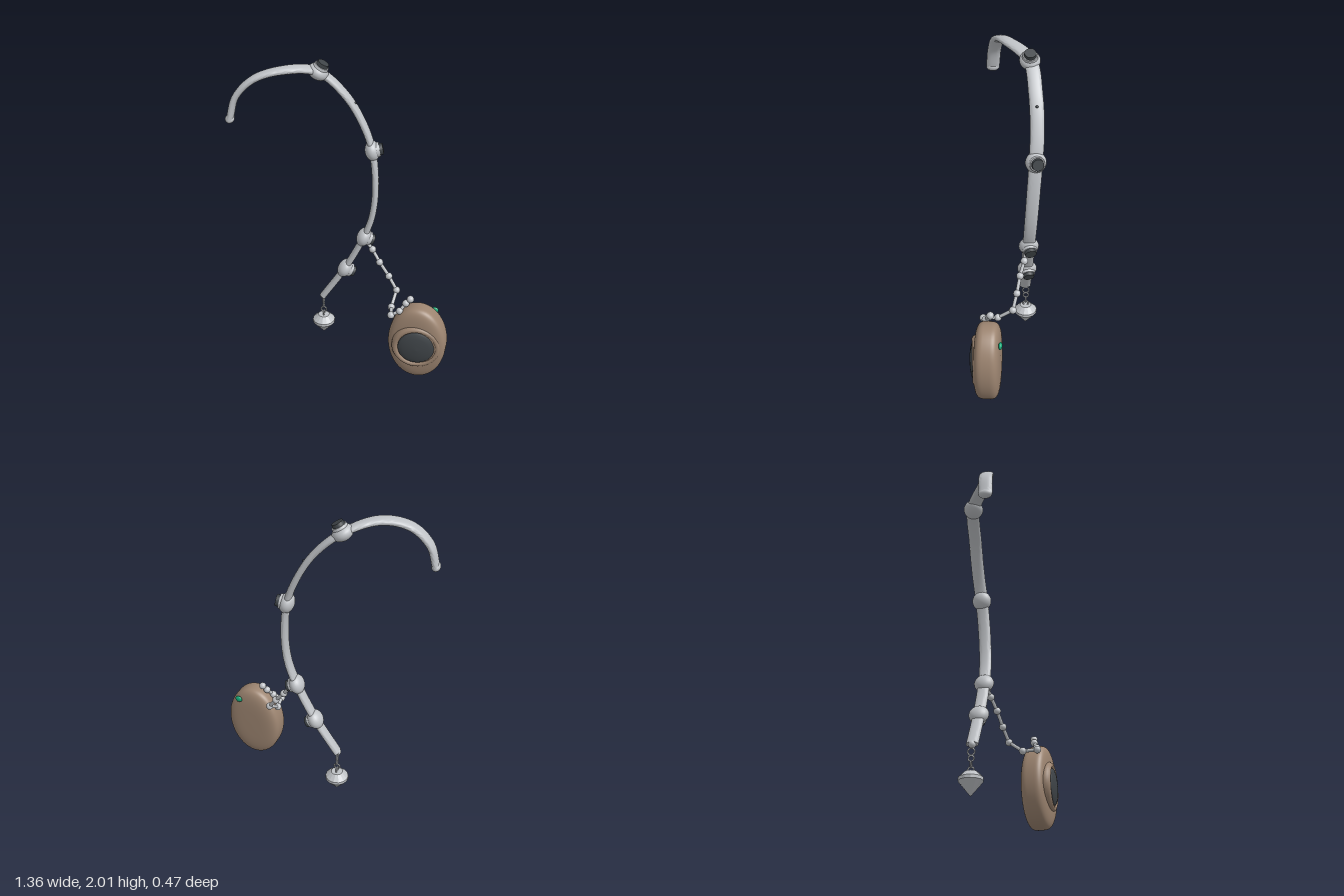
import * as THREE from 'three';
import { toCreasedNormals } from 'three/addons/utils/BufferGeometryUtils.js';

const mat = (name, color, extra = {}) => {
  const m = new THREE.MeshStandardMaterial({ color, ...extra });
  m.name = name;
  return m;
};
const V = (x, y, z) => new THREE.Vector3(x, y, z);

// Outward normal and width direction of the flat band at parameter t
function frameAt(curve, t) {
  const p = curve.getPoint(t), tan = curve.getTangent(t);
  const n = V(0, 0, 1).cross(tan).normalize();
  const w = tan.clone().cross(n).normalize();
  return { p, tan, n, w };
}

// Sweep a rounded flat section along the curve
function bandGeometry(curve, steps, sides) {
  const pos = [], idx = [];
  const pw = (v) => Math.sign(v) * Math.pow(Math.abs(v), 0.85);
  for (let i = 0; i <= steps; i++) {
    const t = i / steps, { p, n, w } = frameAt(curve, t);
    const half = 0.042 - 0.006 * Math.max(0, t * 2 - 1);
    for (let j = 0; j < sides; j++) {
      const a = (j / sides) * Math.PI * 2;
      const q = p.clone().addScaledVector(n, 0.02 * pw(Math.cos(a))).addScaledVector(w, half * pw(Math.sin(a)));
      pos.push(q.x, q.y, q.z);
    }
  }
  for (let i = 0; i < steps; i++) for (let j = 0; j < sides; j++) {
    const k = (j + 1) % sides, a = i * sides, b = a + sides;
    idx.push(a + j, a + k, b + j, a + k, b + k, b + j);
  }
  for (let j = 1; j < sides - 1; j++) {
    const e = steps * sides;
    idx.push(0, j + 1, j, e, e + j, e + j + 1);
  }
  const g = new THREE.BufferGeometry();
  g.setAttribute('position', new THREE.Float32BufferAttribute(pos, 3));
  g.setIndex(idx);
  return toCreasedNormals(g, 0.9);
}

const lathe = (pts, seg = 48) => new THREE.LatheGeometry(pts.map(([r, y]) => new THREE.Vector2(r, y)), seg);

export function createModel() {
  const root = new THREE.Group();
  const silver = mat('silver', 0xbfc2c6), brown = mat('brown', 0x9c8470);
  const dark = mat('dark grey', 0x3f4448), green = mat('green', 0x14a878);
  const silverFlat = silver;

  const add = (name, geo, m, parent = root, p = [0, 0, 0]) => {
    const mesh = new THREE.Mesh(geo, m);
    mesh.name = name;
    mesh.position.set(...p);
    parent.add(mesh);
    return mesh;
  };
  const ball = (name, p, rx, ry, rz, m, parent = root) =>
    add(name, new THREE.SphereGeometry(1, 24, 16).scale(rx, ry, rz), m, parent, p);

  // Hooked band
  const path = [
    [-0.655, 1.7, 0.04], [-0.615, 1.835, 0.03], [-0.51, 1.94, 0.01], [-0.35, 1.98, -0.045],
    [-0.17, 1.935, -0.16], [-0.015, 1.79, -0.185], [0.09, 1.61, -0.19], [0.15, 1.44, -0.18],
    [0.175, 1.2, -0.165], [0.16, 1.0, -0.155], [0.11, 0.84, -0.15], [-0.01, 0.59, -0.15], [-0.155, 0.355, -0.15],
  ].map((a) => V(...a));
  const curve = new THREE.CatmullRomCurve3(path);
  add('band', bandGeometry(curve, 120, 24), silver);
  ball('bandTip', [-0.655, 1.7, 0.04], 0.027, 0.026, 0.041, silver);
  ball('bandEnd', [-0.155, 0.355, -0.15], 0.023, 0.023, 0.023, silver);

  // Joints with dark caps facing outwards
  for (const i of [4, 7, 10, 11]) {
    const { p, tan, n, w } = frameAt(curve, i / (path.length - 1));
    const joint = new THREE.Group();
    joint.name = 'joint';
    joint.quaternion.setFromRotationMatrix(new THREE.Matrix4().makeBasis(n, tan.clone().negate(), w));
    joint.position.copy(p);
    ball('jointBody', [0, 0, 0], 0.045, 0.063, 0.062, silver, joint);
    const cap = new THREE.Group();
    cap.name = 'jointCap';
    cap.rotation.y = i === 4 ? 0 : 0.15;
    add('capCollar', new THREE.CylinderGeometry(0.043, 0.05, 0.035, 32).rotateZ(-Math.PI / 2), silver, cap, [0.028, 0, 0]);
    add('capDisc', new THREE.CylinderGeometry(0.034, 0.037, 0.024, 32).rotateZ(-Math.PI / 2), dark, cap, [0.054, 0, 0]);
    joint.add(cap);
    root.add(joint);
  }

  // Small dark stud on the band
  const stud = frameAt(curve, 5.35 / 12);
  ball('stud', stud.p.clone().addScaledVector(stud.n, 0.019).toArray(), 0.008, 0.008, 0.008, dark);

  // Link chain and pointed weight
  [[0.312, 0.021, true], [0.272, 0.017, true], [0.235, 0.018, false], [0.205, 0.017, true]].forEach(([y, r, side]) => {
    const link = new THREE.TorusGeometry(r, 0.005, 8, 24);
    if (side) link.rotateY(Math.PI / 2);
    add('chainLink', link, silver, root, [-0.155, y, -0.155]);
  });
  const weight = lathe([[0, 0.048], [0.074, 0.138], [0.074, 0.157], [0.037, 0.193], [0, 0.193]], 14);
  add('weight', toCreasedNormals(weight, 0.1), silverFlat, root, [-0.155, 0, -0.155]);

  // Beaded cord
  const beads = [
    [0.125, 0.82, -0.135], [0.17, 0.77, -0.12], [0.22, 0.695, -0.092], [0.283, 0.61, -0.07], [0.338, 0.525, -0.043],
    [0.316, 0.455, 0.048], [0.322, 0.46, 0.138], [0.375, 0.488, 0.125], [0.41, 0.535, 0.103], [0.437, 0.565, 0.097],
  ].map((a) => V(...a));
  beads.forEach((b, i) => {
    ball('bead', b.toArray(), 0.023, 0.023, 0.023, silver);
    if (!i) return;
    const d = b.clone().sub(beads[i - 1]);
    const rod = add('cord', new THREE.CylinderGeometry(0.011, 0.011, d.length(), 12), silver, root,
      b.clone().add(beads[i - 1]).multiplyScalar(0.5).toArray());
    rod.quaternion.setFromUnitVectors(V(0, 1, 0), d.normalize());
  });

  // Oval case, slightly turned
  const pod = new THREE.Group();
  pod.name = 'case';
  pod.position.set(0.495, 0.268, 0.115);
  pod.rotation.y = -0.12;
  root.add(pod);
  const profile = [];
  for (let i = 0; i <= 40; i++) {
    const a = (i / 40 - 0.5) * Math.PI, s = Math.sin(a);
    profile.push([Math.sqrt(Math.max(0, Math.cos(a))), 0.082 * Math.sign(s) * Math.sqrt(Math.abs(s))]);
  }
  profile[0][0] = profile[40][0] = 0;
  const shell = lathe(profile, 64);
  shell.rotateX(Math.PI / 2).scale(0.185, 0.265, 1);
  add('caseShell', shell, brown, pod);
  ball('indicator', [0.087, 0.19, -0.083], 0.024, 0.022, 0.012, green, pod);

  // Round rim and dark domed face
  const rim = lathe([[0.152, 0.12], [0.156, 0.175], [0.154, 0.193], [0.146, 0.206], [0.135, 0.211],
    [0.124, 0.208], [0.117, 0.199], [0.116, 0.185]]);
  add('rim', rim.rotateX(Math.PI / 2), brown, root, [0.492, 0.268, 0]);
  const face = lathe([[0.117, 0.18], [0.115, 0.205], [0.108, 0.212], [0.08, 0.22], [0.04, 0.226], [0, 0.228]]);
  add('face', face.rotateX(Math.PI / 2), dark, root, [0.492, 0.268, 0]);

  return root;
}
